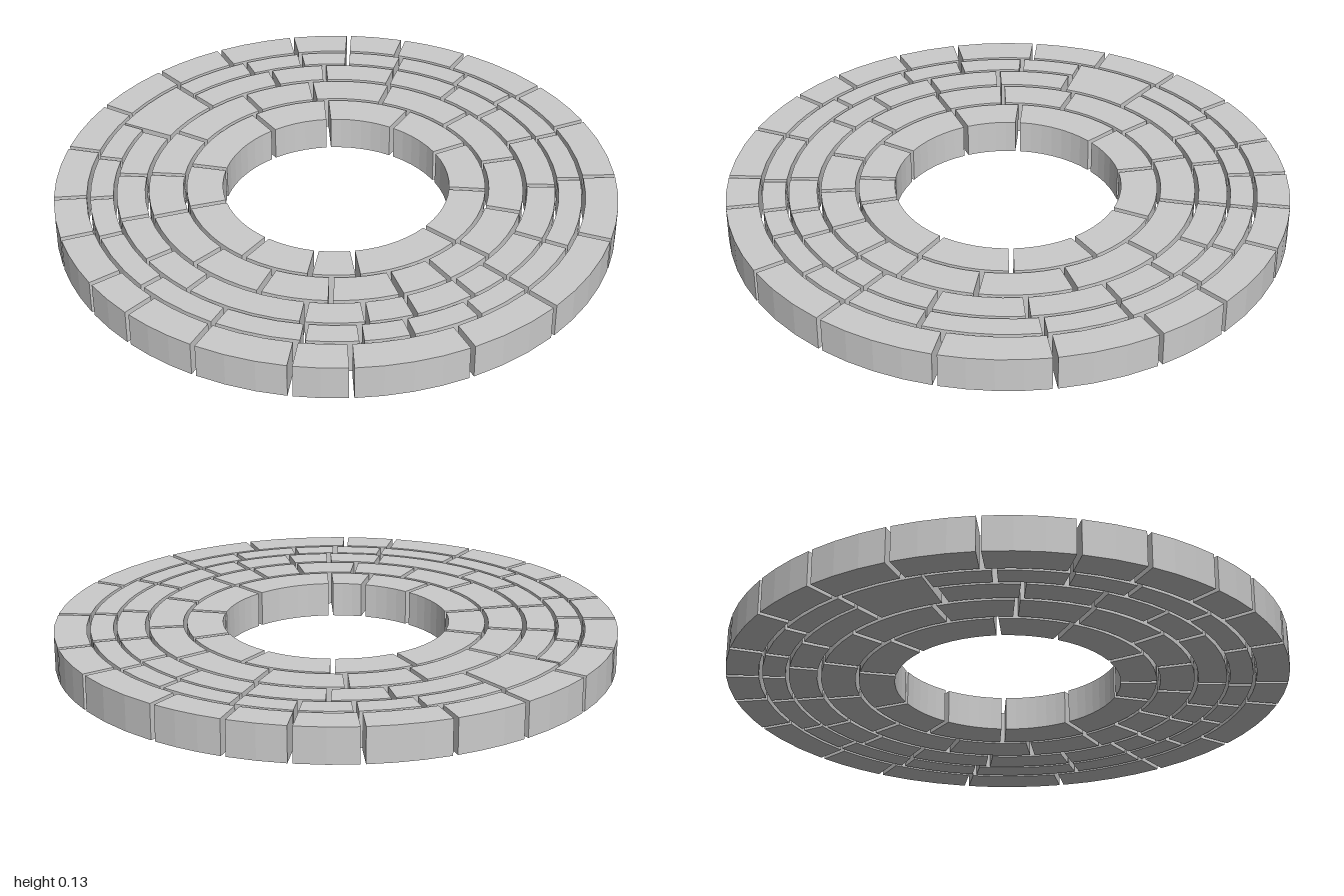
import * as THREE from 'three';

const HEIGHT = 0.127;
const GAP = 0.017;

// Each ring: inner and outer radius, joint angles in degrees (from +x towards +z, increasing)
const rings = [
  { name: 'innerRing', r0: 0.403, r1: 0.531,
    joints: [-173.7, -142.5, -107.8, -75.7, -43.5, -8, 33.5, 51, 77.5, 115, 143] },
  { name: 'secondRing', r0: 0.544, r1: 0.665,
    joints: [-170, -147, -120.5, -90.5, -61.7, -33, -9, 7, 22.5, 43, 64, 87, 113.5, 136, 160] },
  { name: 'thirdRing', r0: 0.679, r1: 0.779,
    joints: [-157.6, -142, -121.5, -102, -86.6, -70, -47, -23, -5, 6, 22, 34, 49.6, 80.3, 96.3,
      114.7, 135, 156, 177.5], skip: 156 },
  { name: 'fourthRing', r0: 0.791, r1: 0.872,
    joints: [-162.6, -148, -135.5, -121.5, -103.3, -88.9, -69.3, -50, -23, -5, 9, 25, 36, 48.5, 68.6,
      88.9, 109.6, 125, 141.6, 157, 177.5], skip: 157 },
  { name: 'outerRing', r0: 0.885, r1: 1,
    joints: [-165.9, -148.7, -135.6, -123.1, -108, -87.4, -71.6, -50.8, -28.7, -4.4, 15.5, 38.6,
      49.9, 68.8, 84.5, 96.2, 112, 125.8, 144, 161, 178.5] },
];

// A curved paving stone between two joints, with parallel-sided gaps
function makeStone(r0, r1, fromDeg, toDeg, material) {
  const a = THREE.MathUtils.degToRad(fromDeg);
  const b = THREE.MathUtils.degToRad(toDeg);
  const steps = Math.max(2, Math.round((toDeg - fromDeg) / 6));
  const arc = (r) => {
    const inset = GAP / 2 / r;
    return Array.from({ length: steps + 1 }, (_, i) => {
      const t = THREE.MathUtils.lerp(a + inset, b - inset, i / steps);
      return new THREE.Vector2(r * Math.cos(t), r * Math.sin(t));
    });
  };
  const shape = new THREE.Shape([...arc(r1), ...arc(r0).reverse()]);
  const geometry = new THREE.ExtrudeGeometry(shape, { depth: HEIGHT, bevelEnabled: false });
  geometry.rotateX(Math.PI / 2).translate(0, HEIGHT, 0);
  return new THREE.Mesh(geometry, material);
}

export function createModel() {
  const model = new THREE.Group();
  model.name = 'pavingCircle';
  const material = new THREE.MeshStandardMaterial({ color: 0xcccccc, flatShading: true });

  for (const { name, r0, r1, joints, skip } of rings) {
    const ring = new THREE.Group();
    ring.name = name;
    joints.forEach((from, i) => {
      if (from === skip) return;
      const to = i + 1 < joints.length ? joints[i + 1] : joints[0] + 360;
      const stone = makeStone(r0, r1, from, to, material);
      stone.name = `${name}Stone${i + 1}`;
      ring.add(stone);
    });
    model.add(ring);
  }

  // One wide stone spans the third and fourth rings
  const wide = makeStone(rings[2].r0, rings[3].r1, 156.5, 177.5, material);
  wide.name = 'wideStone';
  model.add(wide);
  return model;
}
